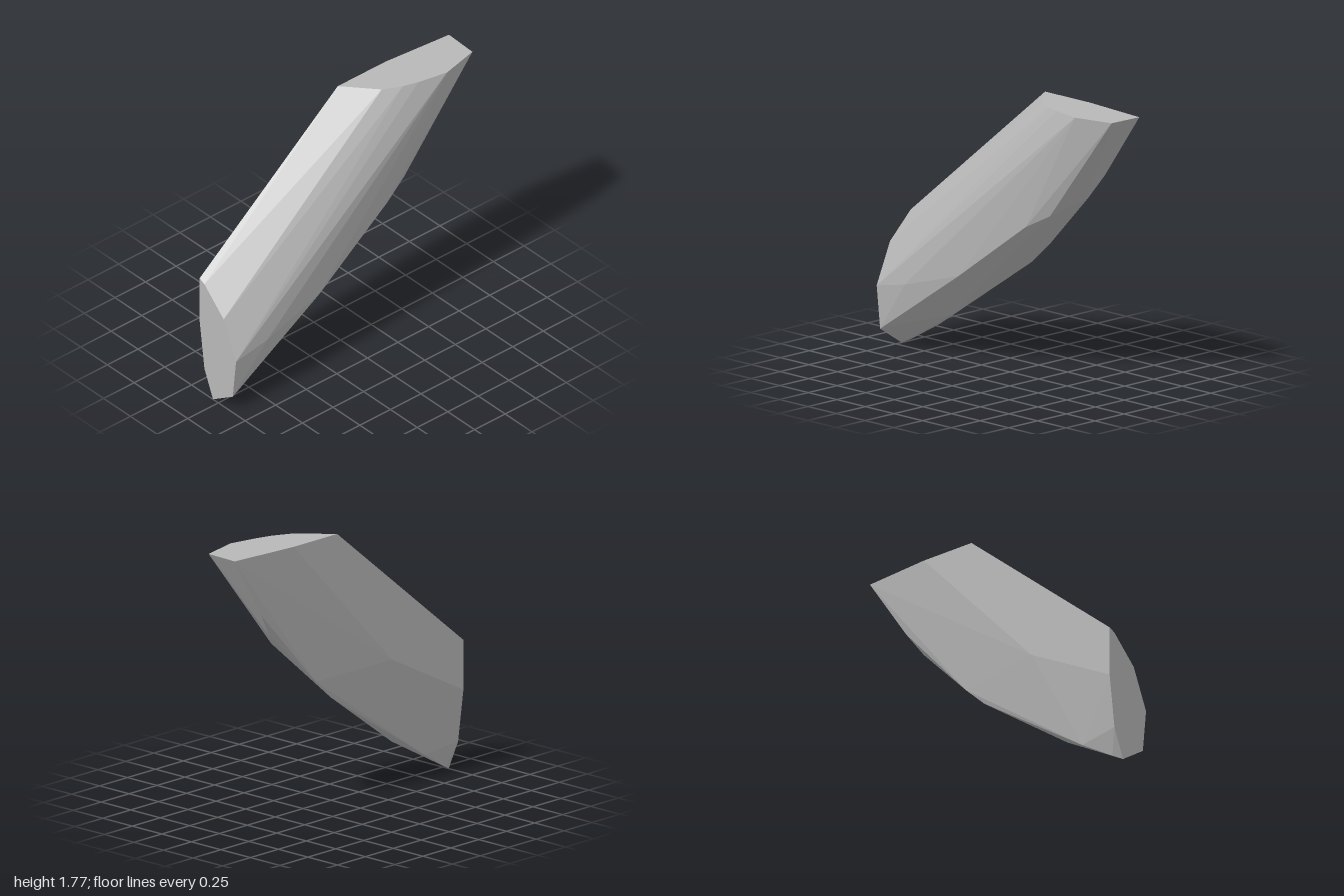
import * as THREE from 'three';
import { ConvexGeometry } from 'three/addons/geometries/ConvexGeometry.js';

export function createModel() {
  const group = new THREE.Group();
  group.name = 'stoneShard';
  const stone = new THREE.MeshStandardMaterial({ color: 0xb8b8b8 });
  stone.name = 'grey stone';

  // Flat cut at the top, as x, z
  const topCut = [
    [0.13, -0.175], [0.15, -0.155], [0.31, 0.03], [0.43, 0.09], [0.53, 0.12],
    [0.73, 0.16], [0.99, 0.1], [1, -0.13], [0.52, -0.175],
  ].map(([x, z]) => new THREE.Vector3(x, 1.77, z));

  // Flat cut at the side, as y, z
  const sideCut = [
    [0.85, -0.175], [0.83, -0.13], [0.66, 0.05], [0.4, 0.165],
    [0.12, 0.135], [0, -0.05], [0.19, -0.13], [0.53, -0.175],
  ].map(([y, z]) => new THREE.Vector3(-1, y, z));

  // Chipped lower edge, front bulge and back corner
  const chips = [
    [-0.94, 0.03, -0.08], [-0.72, 0.16, -0.11], [-0.52, 0.27, -0.02],
    [0, 0.63, -0.08], [0.1, 0.7, -0.09], [0.24, 0.83, -0.1],
    [0.62, 1.2, -0.06], [0.73, 1.36, -0.1],
    [0.44, 1.08, 0.09], [0.27, 0.99, 0.13], [0.67, 1.43, 0.11],
    [-0.75, 0.45, 0.17], [-0.3, 0.58, 0.15], [-0.36, 0.86, -0.175],
  ].map((p) => new THREE.Vector3(...p));

  const shard = new THREE.Mesh(new ConvexGeometry([...topCut, ...sideCut, ...chips]), stone);
  shard.name = 'shard';
  group.add(shard);
  return group;
}
